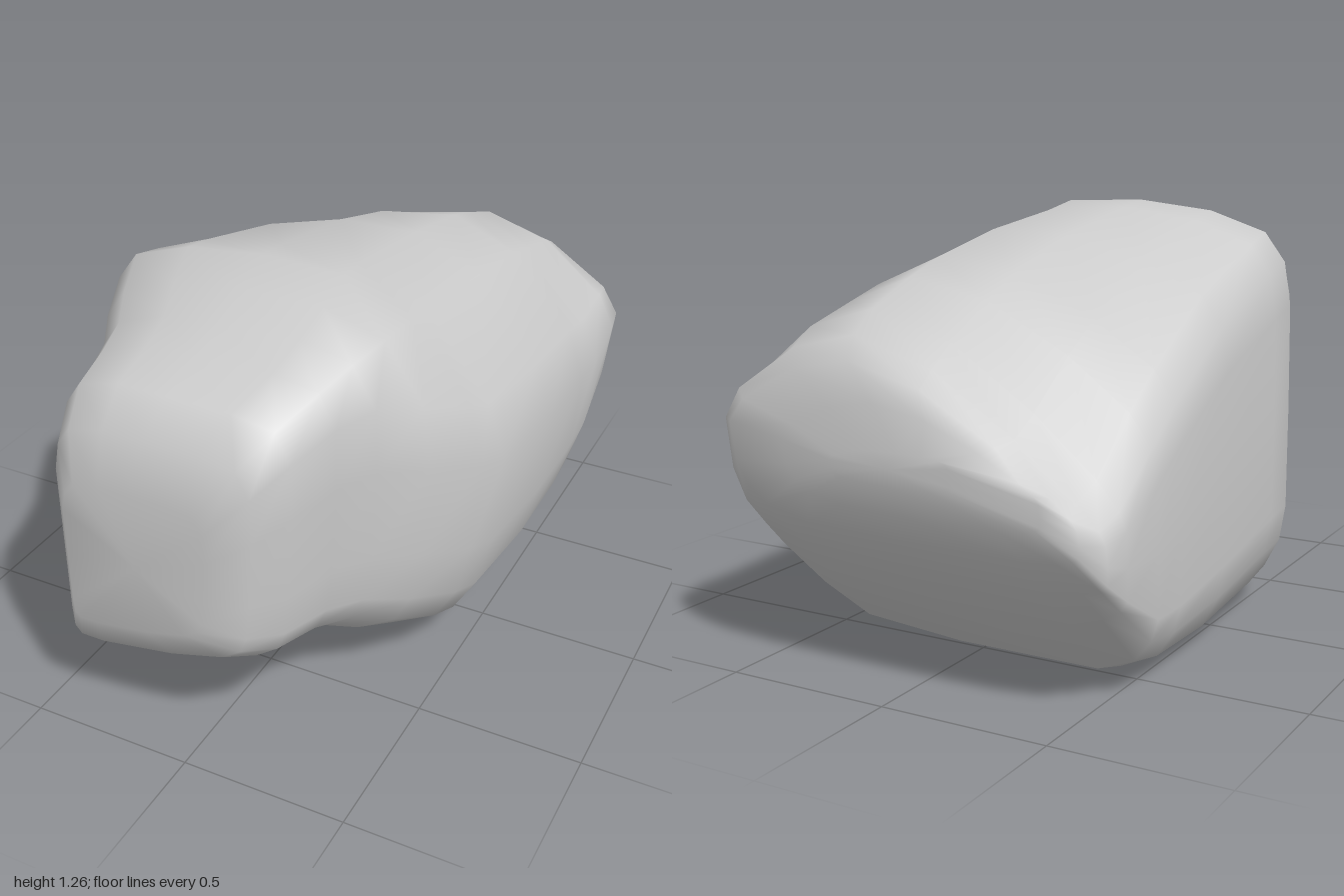
import * as THREE from 'three';

// Outlines run clockwise from the lower -x side; both have the same point count.
const bodyOutline = [
  [-.62, .3], [-.62, .62], [-.615, .95], [-.595, 1.09], [-.53, 1.18], [-.35, 1.24],
  [-.1, 1.265], [.15, 1.25], [.36, 1.15], [.56, .89], [.615, .71], [.595, .42],
  [.55, .24], [.48, .12], [.32, .03], [0, 0], [-.44, 0], [-.55, .07], [-.6, .18],
];
const neckOutline = [
  [-.4, .36], [-.4, .65], [-.4, .93], [-.38, 1.03], [-.33, 1.1], [-.2, 1.13],
  [-.05, 1.13], [.15, 1.13], [.28, 1.11], [.325, 1.02], [.325, .85], [.31, .6],
  [.295, .47], [.27, .41], [.2, .36], [0, .3], [-.28, .25], [-.37, .25], [-.395, .28],
];

// z, x range, y range, blend from body (0) to neck (1), drop of the top on the -x side
const sections = [
  [1, -.33, .1, .41, .87, 1, 0],
  [.96, -.37, .22, .31, 1.02, 1, 0],
  [.87, -.4, .29, .25, 1.11, 1, 0],
  [.72, -.43, .34, .22, 1.155, 1, .02],
  [.6, -.47, .4, .18, 1.2, .85, .05],
  [.48, -.54, .5, .13, 1.25, .5, .06],
  [.3, -.62, .58, .06, 1.265, .15, .02],
  [.18, -.62, .6, .025, 1.25, 0, .03],
  [-.18, -.62, .615, 0, 1.205, 0, .12],
  [-.48, -.62, .615, .02, 1.145, 0, .26],
  [-.62, -.62, .615, .06, 1.1, 0, .33],
  [-.8, -.62, .61, .25, 1.03, 0, .44],
  [-.89, -.61, .595, .35, .97, 0, .43],
  [-.945, -.56, .53, .44, .91, 0, .34],
  [-.98, -.47, .32, .52, .81, 0, .18],
  [-1, -.22, .15, .6, .69, 0, 0],
];

// Scale an outline to the unit square
function unit(outline) {
  const box = new THREE.Box2().setFromPoints(outline.map(p => new THREE.Vector2(...p)));
  const size = box.getSize(new THREE.Vector2());
  return outline.map(([x, y]) => [(x - box.min.x) / size.x, (y - box.min.y) / size.y]);
}

// Skin the sections front to back and close both ends
function loft() {
  const body = unit(bodyOutline), neck = unit(neckOutline), n = body.length;
  const { lerp } = THREE.MathUtils;
  const positions = [], index = [];
  for (const [z, x0, x1, y0, y1, blend, drop] of sections) {
    for (let j = 0; j < n; j++) {
      const u = lerp(body[j][0], neck[j][0], blend);
      const v = lerp(body[j][1], neck[j][1], blend);
      const top = y1 - drop * Math.max(0, 1 - u / .6) ** 1.4;
      positions.push(lerp(x0, x1, u), lerp(y0, top, v), z);
    }
  }
  const last = sections.length - 1, front = sections.length * n, back = front + 1;
  for (const [z, x0, x1, y0, y1] of [sections[0], sections[last]]) {
    positions.push((x0 + x1) / 2, (y0 + y1) / 2, z);
  }
  for (let j = 0; j < n; j++) {
    const k = (j + 1) % n;
    for (let i = 0; i < last; i++) {
      const a = i * n, b = a + n;
      index.push(a + j, a + k, b + j, a + k, b + k, b + j);
    }
    index.push(front, k, j, back, last * n + j, last * n + k);
  }
  const geometry = new THREE.BufferGeometry();
  geometry.setAttribute('position', new THREE.Float32BufferAttribute(positions, 3));
  geometry.setIndex(index);
  geometry.computeVertexNormals();
  return geometry;
}

export function createModel() {
  const group = new THREE.Group();
  group.name = 'rock';
  const boulder = new THREE.Mesh(loft(), new THREE.MeshStandardMaterial({ color: 0xcccccc }));
  boulder.name = 'boulder';
  group.add(boulder);
  return group;
}
